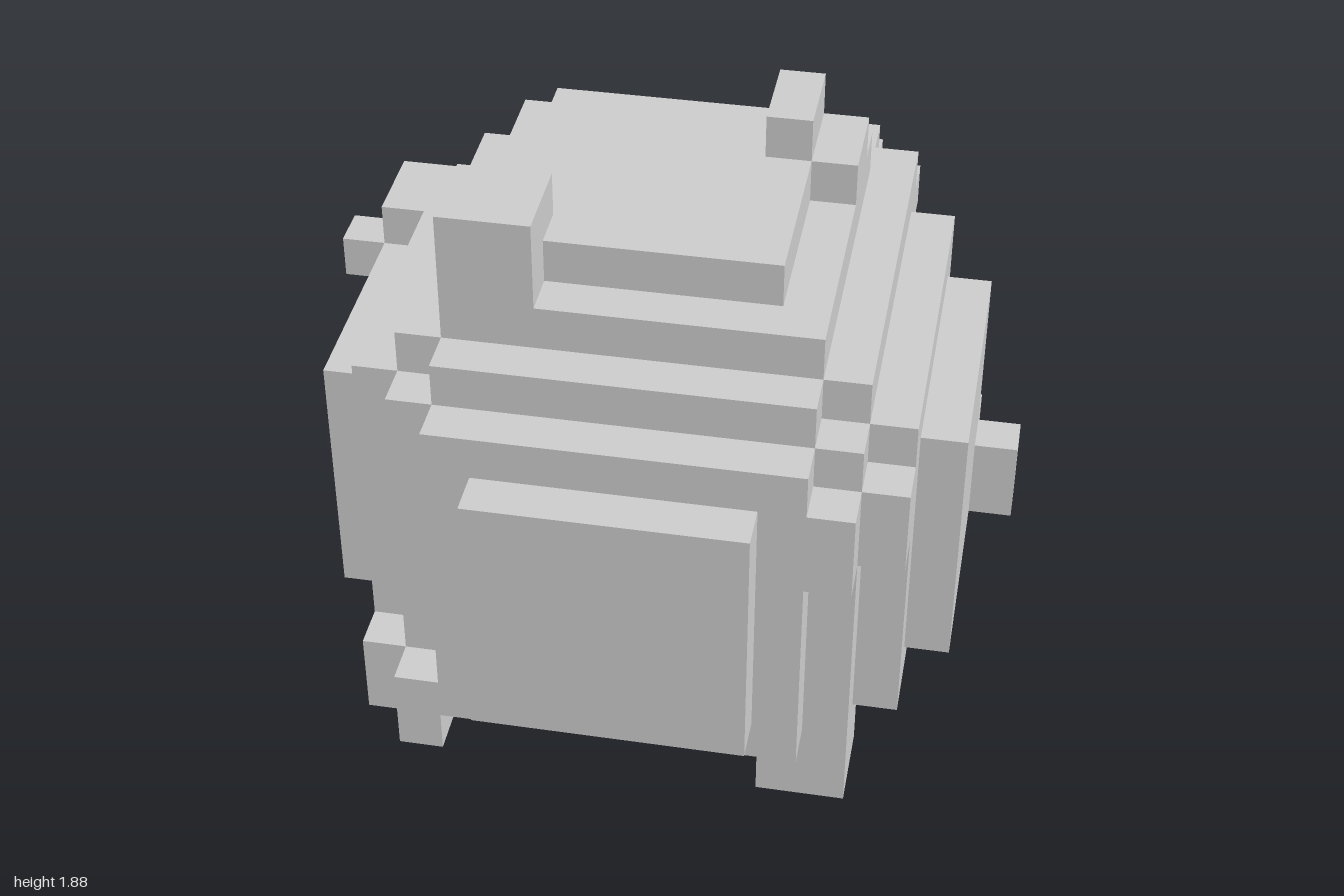
import * as THREE from 'three';

const CELL = 0.125; // size of one block

export function createModel() {
  const model = new THREE.Group();
  const material = new THREE.MeshStandardMaterial({ color: 0xcccccc, flatShading: true });

  // A box from its low to its high corner, counted in blocks
  function block(name, [x0, y0, z0], [x1, y1, z1], parent = model) {
    const geometry = new THREE.BoxGeometry((x1 - x0) * CELL, (y1 - y0) * CELL, (z1 - z0) * CELL);
    const mesh = new THREE.Mesh(geometry, material);
    mesh.name = name;
    mesh.position.set((x0 + x1) / 2 * CELL, (y0 + y1) / 2 * CELL, (z0 + z1) / 2 * CELL);
    parent.add(mesh);
  }

  function lump(name, cells) {
    const group = new THREE.Group();
    group.name = name;
    for (const [low, high] of cells) block('block', low, high, group);
    model.add(group);
  }

  // Core, with its four upper corners notched
  block('core', [-5, 2, -5], [5, 11, 5]);
  block('coreTopWide', [-5, 11, -4], [5, 12, 4]);
  block('coreTopDeep', [-4, 11, -5], [4, 12, 5]);

  // Stepped plates on all six sides
  for (const [name, reach, half] of [['plate', 6, 4], ['panel', 7, 3]]) {
    for (const axis of [0, 1, 2]) {
      const size = [half, half, half];
      size[axis] = reach;
      const [a, b, c] = size;
      block(name + ['Sides', 'TopBottom', 'FrontBack'][axis], [-a, 7 - b, -c], [a, 7 + b, c]);
    }
  }

  // Small lumps scattered over the surface
  lump('topFrontLump', [[[-4, 13, 2], [-2, 15, 4]]]);
  lump('topBackLump', [
    [[2, 14, -3], [3, 15, -1]],
    [[3, 13, -3], [4, 14, -1]],
  ]);
  lump('frontLeftEdgeLump', [
    [[4, 8, 5], [5, 10, 6]],
    [[5, 8, 4], [6, 10, 5]],
  ]);
  lump('frontRightLowerLump', [
    [[-5, 2, 5], [-4, 4, 6]],
    [[-6, 2, 4], [-5, 4, 5]],
  ]);
  lump('bottomCornerLump', [
    [[3, 1, 3], [5, 2, 5]],
    [[3, 0, 3], [4, 1, 4]],
  ]);
  lump('leftSideLump', [
    [[6, 4, -4], [7, 6, -3]],
    [[7, 4, -3], [8, 6, -2]],
  ]);
  lump('rightSideLump', [
    [[-7, 9, -4], [-6, 11, -3]],
    [[-7, 10, -3], [-6, 11, -2]],
    [[-8, 9, -3], [-7, 10, -2]],
  ]);
  lump('backUpperLump', [
    [[2, 10, -7], [4, 11, -6]],
    [[3, 11, -6], [4, 12, -5]],
    [[4, 10, -6], [5, 11, -5]],
    [[4, 11, -5], [5, 12, -4]],
  ]);
  lump('backLowerLump', [
    [[-4, 3, -7], [-2, 4, -6]],
    [[-4, 4, -7], [-3, 5, -6]],
    [[-4, 2, -6], [-2, 3, -5]],
  ]);

  return model;
}
